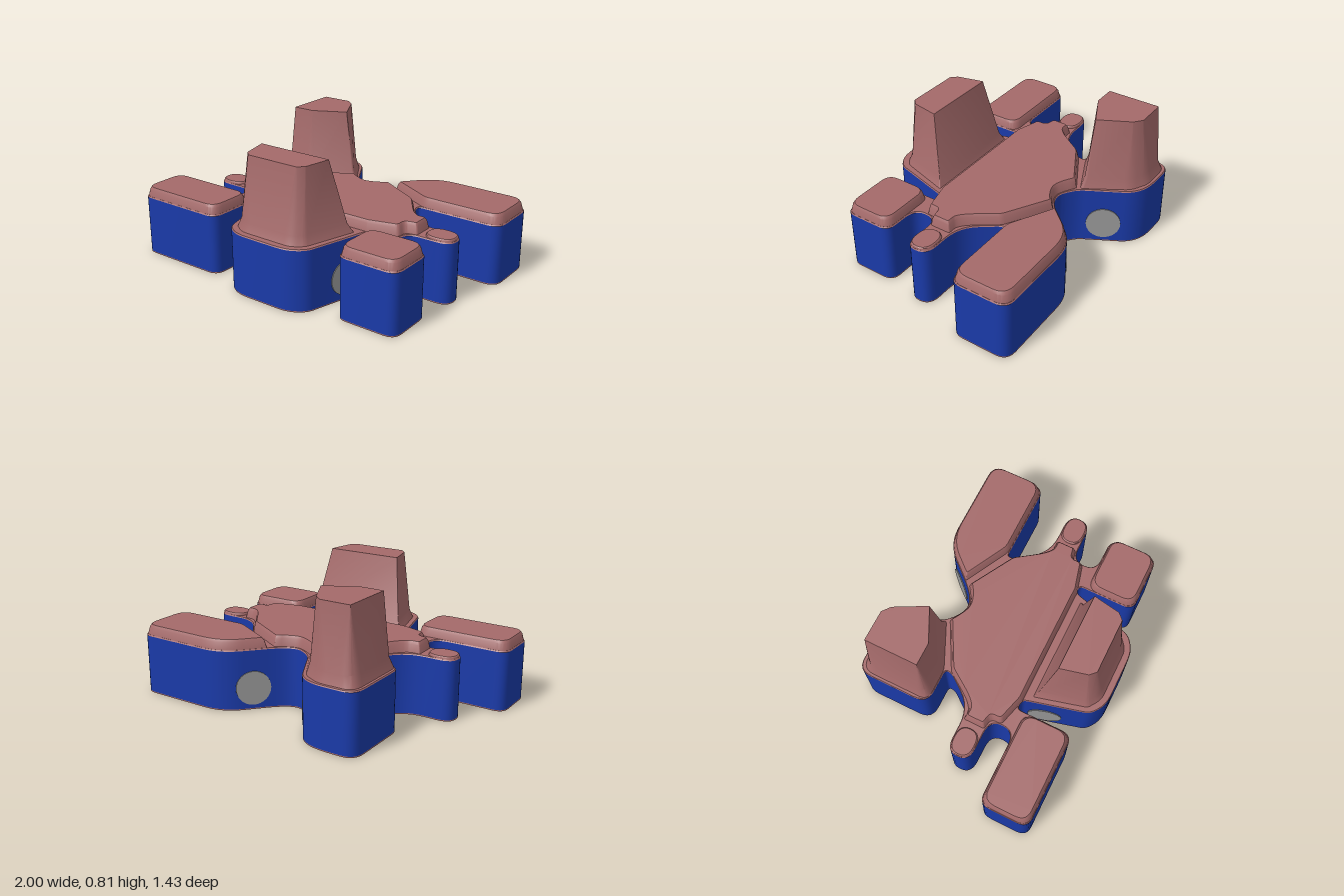
import * as THREE from 'three';
import { toCreasedNormals } from 'three/addons/utils/BufferGeometryUtils.js';

const brown = new THREE.MeshStandardMaterial({ color: 0xa46a6a });
const blue = new THREE.MeshStandardMaterial({ color: 0x1a3aa8 });
const grey = new THREE.MeshStandardMaterial({ color: 0x999999 });
const dark = new THREE.MeshStandardMaterial({ color: 0x14245c });

// Plan corners are [x, z, rounding]; returns an inset, rounded, counter-clockwise ring
function ring(corners, inset) {
  let p = corners.map(([x, z, r = 0]) => ({ v: new THREE.Vector2(x, -z), r }));
  if (THREE.ShapeUtils.isClockWise(p.map(c => c.v))) p.reverse();
  const n = p.length;
  const normal = (a, b) => new THREE.Vector2(a.y - b.y, b.x - a.x).normalize();
  p = p.map((c, i) => {
    const n1 = normal(p[(i + n - 1) % n].v, c.v), n2 = normal(c.v, p[(i + 1) % n].v);
    const k = inset / Math.max(0.3, 1 + n1.dot(n2));
    return { v: c.v.clone().addScaledVector(n1.add(n2), k), r: c.r };
  });
  const out = [];
  p.forEach((c, i) => {
    const a = p[(i + n - 1) % n].v, b = p[(i + 1) % n].v;
    const cut = q => {
      const d = q.distanceTo(c.v);
      return c.v.clone().lerp(q, Math.min(Math.max(c.r, 0.003), d * 0.48) / d);
    };
    out.push(...new THREE.QuadraticBezierCurve(cut(a), c.v, cut(b)).getPoints(6));
  });
  return out;
}

// Closed solid through levels of [corners, y, inset]
function loft(name, material, levels) {
  const pos = [], idx = [];
  const rings = levels.map(([c, , inset = 0]) => ring(c, inset));
  const n = rings[0].length;
  rings.forEach((r, k) => r.forEach(v => pos.push(v.x, levels[k][1], -v.y)));
  for (let k = 0; k < rings.length - 1; k++) {
    for (let i = 0; i < n; i++) {
      const a = k * n + i, b = k * n + (i + 1) % n;
      idx.push(a, b, b + n, a, b + n, a + n);
    }
  }
  const last = (rings.length - 1) * n;
  for (const [a, b, c] of THREE.ShapeUtils.triangulateShape(rings[0], [])) idx.push(a, c, b);
  for (const [a, b, c] of THREE.ShapeUtils.triangulateShape(rings[rings.length - 1], [])) {
    idx.push(last + a, last + b, last + c);
  }
  const g = new THREE.BufferGeometry();
  g.setAttribute('position', new THREE.Float32BufferAttribute(pos, 3));
  g.setIndex(idx);
  const mesh = new THREE.Mesh(toCreasedNormals(g, 0.45), material);
  mesh.name = name;
  return mesh;
}

const rect = (x0, z0, x1, z1, r) => [[x0, z0, r], [x1, z0, r], [x1, z1, r], [x0, z1, r]];

// Full plan outline, clockwise from the back lobe
const outline = [
  [-0.61, -0.72, 0.09], [-0.34, -0.72, 0.1], [-0.235, -0.665, 0.06],
  [-0.08, -0.385, 0.04], [-0.01, -0.33, 0.05], [0.045, -0.31, 0.05], [0.11, -0.33, 0.05], [0.175, -0.385, 0.04],
  [0.33, -0.56, 0.06], [0.44, -0.615, 0.08], [1, -0.615, 0.08], [1, -0.245, 0.08],
  [0.465, -0.245, 0.03], [0.47, -0.2, 0.02], [0.61, -0.015, 0.12],
  [0.9, -0.015, 0.09], [0.9, 0.135, 0.09], [0.62, 0.135, 0.09], [0.62, 0.295, 0.09],
  [0.86, 0.295, 0.07], [0.86, 0.61, 0.07], [0.48, 0.61, 0.07], [0.48, 0.25, 0.03],
  [0.43, 0.25, 0.03], [0.32, 0.65, 0.04], [0.23, 0.715, 0.08],
  [-0.14, 0.715, 0.08], [-0.235, 0.65, 0.04], [-0.34, 0.25, 0.03], [-0.4, 0.25, 0.03],
  [-0.4, 0.61, 0.07], [-1, 0.61, 0.07], [-1, 0.295, 0.07], [-0.53, 0.295, 0.09],
  [-0.53, 0.135, 0.09], [-0.81, 0.135, 0.09], [-0.81, -0.015, 0.09], [-0.52, -0.015, 0.12],
  [-0.38, -0.2, 0.02], [-0.375, -0.245, 0.03], [-0.61, -0.245, 0.09],
];

// Raised middle plate
const plate = [
  [-0.085, -0.37], [-0.01, -0.325, 0.05], [0.045, -0.305, 0.05], [0.11, -0.325, 0.05], [0.175, -0.37],
  [0.46, -0.21, 0.02], [0.6, -0.01, 0.12], [0.69, -0.01, 0.01], [0.69, 0.13, 0.01],
  [0.62, 0.145, 0.03], [0.62, 0.21, 0.02], [0.43, 0.26], [-0.35, 0.26],
  [-0.53, 0.21, 0.02], [-0.53, 0.145, 0.03], [-0.6, 0.13, 0.01], [-0.6, -0.01, 0.01],
  [-0.51, -0.01, 0.12], [-0.375, -0.21, 0.02],
];

const backLobe = [
  [0.19, -0.4, 0.01], [0.33, -0.56, 0.06], [0.44, -0.615, 0.08],
  [1, -0.615, 0.08], [1, -0.245, 0.08], [0.49, -0.245, 0.03],
];

// Tower footprints and tops
const backFoot = [
  [-0.592, -0.7, 0.08], [-0.36, -0.7, 0.04], [-0.25, -0.645, 0.04],
  [-0.09, -0.385, 0.02], [-0.38, -0.25, 0.03], [-0.592, -0.25, 0.06],
];
const backTop = [
  [-0.53, -0.64], [-0.34, -0.64], [-0.29, -0.6], [-0.19, -0.41], [-0.39, -0.31], [-0.53, -0.31],
];
const frontFoot = [
  [-0.295, 0.3, 0.01], [0.385, 0.3, 0.01], [0.29, 0.62, 0.02],
  [0.22, 0.675, 0.04], [-0.13, 0.675, 0.04], [-0.21, 0.62, 0.02],
];
const frontTop = [
  [-0.2, 0.4], [0.28, 0.4], [0.25, 0.565], [0.215, 0.6], [-0.125, 0.6], [-0.16, 0.565],
];

export function createModel() {
  const model = new THREE.Group();

  // Base slab, blue wall and deck share one outline
  model.add(loft('bottomPlate', brown, [[outline, 0], [outline, 0.007]]));
  model.add(loft('wall', blue, [[outline, 0.007], [outline, 0.368]]));
  model.add(loft('deck', brown, [[outline, 0.368], [outline, 0.375, 0.004]]));

  // Bevelled caps divided by grooves
  const cap = (name, plan, top, bevel) => model.add(loft(name, brown,
    [[plan, 0.37, 0.004], [plan, top - (top - 0.37) * 0.25, bevel * 0.6], [plan, top, bevel]]));
  cap('middlePlate', plate, 0.44, 0.024);
  cap('backLeftCap', backLobe, 0.435, 0.024);
  cap('frontLeftCap', rect(0.48, 0.295, 0.86, 0.61, 0.07), 0.432, 0.022);
  cap('frontRightCap', rect(-1, 0.295, -0.4, 0.61, 0.07), 0.432, 0.022);
  cap('leftNubCap', rect(0.71, -0.015, 0.9, 0.135, 0.08), 0.39, 0.012);
  cap('rightNubCap', rect(-0.81, -0.015, -0.625, 0.135, 0.08), 0.39, 0.012);

  // Tapered towers with flared feet
  model.add(loft('backTower', brown, [[backFoot, 0.37], [backFoot, 0.44, 0.022], [backTop, 0.812]]));
  model.add(loft('frontTower', brown, [[frontFoot, 0.37], [frontFoot, 0.43, 0.024], [frontTop, 0.808]]));

  // Round discs set in the slanted walls: x, z and outward direction
  [
    [-0.303, 0.39, -0.38, -0.105 * -1], [0.3915, 0.39, 0.4, 0.11],
    [-0.155, -0.52, 0.28, -0.155], [0.2525, -0.4725, -0.175, -0.155],
  ].forEach(([x, z, nx, nz]) => {
    const g = new THREE.CylinderGeometry(0.105, 0.105, 0.012, 32).rotateX(Math.PI / 2);
    const disc = new THREE.Mesh(g, grey);
    disc.name = 'wallDisc';
    disc.position.set(x, 0.135, z);
    disc.rotation.y = Math.atan2(nx, nz);
    model.add(disc);
  });

  // Tiny notches near the foot of the outer walls
  [[0.04, 0.7125], [0.9975, -0.425], [-0.48, -0.7175]].forEach(([x, z]) => {
    const notch = new THREE.Mesh(new THREE.BoxGeometry(0.03, 0.03, 0.03), dark);
    notch.name = 'notch';
    notch.position.set(x - Math.sign(x) * (x > 0.9 ? 0.0135 : 0), 0.025, x > 0.9 ? z : z - Math.sign(z) * 0.0135);
    model.add(notch);
  });

  return model;
}
